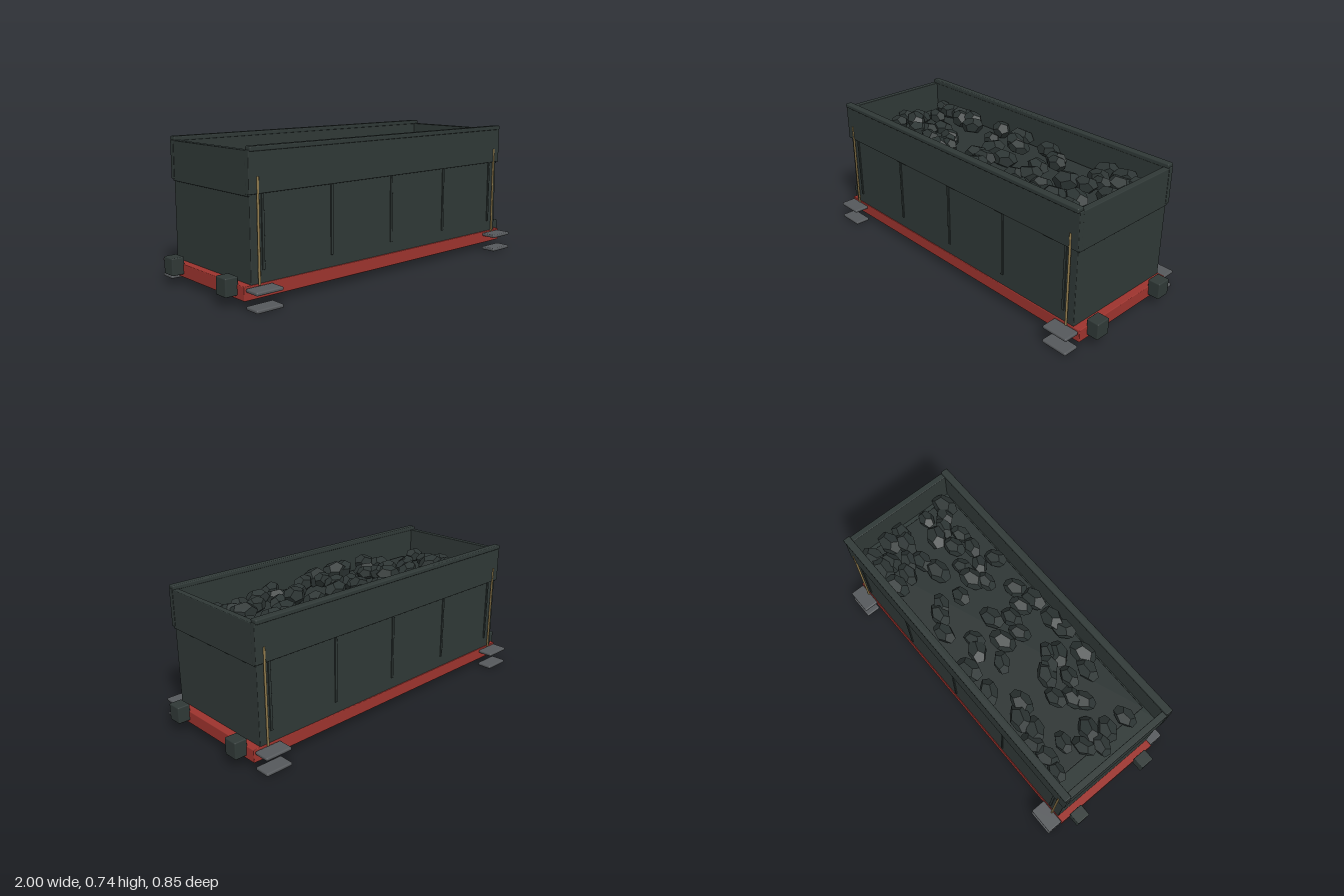
import * as THREE from 'three';
import { RoundedBoxGeometry } from 'three/addons/geometries/RoundedBoxGeometry.js';

const material = (name, color) => {
  const m = new THREE.MeshStandardMaterial({ color });
  m.name = name;
  return m;
};

// Rough layout of the coal lumps, as x, z pairs
const LUMPS = [
  -0.75, -0.27, -0.66, -0.25, -0.57, -0.28, -0.52, -0.21, -0.43, -0.23, -0.37, -0.17,
  -0.74, -0.07, -0.79, 0.0, -0.69, 0.0, -0.75, 0.08, -0.76, 0.19, -0.66, -0.14,
  -0.46, -0.02, -0.52, 0.05, -0.56, 0.08, -0.42, 0.11, -0.34, 0.03, -0.31, 0.07,
  -0.45, 0.21, -0.37, 0.25, -0.29, 0.15, -0.25, 0.11, -0.2, 0.26, -0.12, 0.25,
  -0.22, -0.28, -0.06, -0.28, -0.14, -0.11, -0.01, -0.17, 0.05, -0.14, -0.05, -0.03,
  -0.07, 0.07, 0.02, 0.09, 0.09, 0.01, 0.04, 0.17, 0.03, 0.25, 0.14, 0.22,
  0.18, -0.24, 0.28, -0.19, 0.32, -0.15, 0.29, -0.04, 0.33, 0.07, 0.27, 0.12,
  0.38, 0.16, 0.43, 0.08, 0.48, 0.19, 0.55, 0.12, 0.59, 0.2, 0.66, 0.08,
  0.68, 0.15, 0.74, 0.2, 0.79, 0.11, 0.79, 0.24, 0.49, -0.04, 0.59, -0.07,
  0.56, -0.27, 0.68, -0.28, 0.58, -0.18, 0.7, -0.21, 0.78, -0.26, 0.74, -0.07,
  0.82, -0.14, 0.64, -0.13, 0.35, 0.25, 0.87, -0.06,
];

export function createModel() {
  const model = new THREE.Group();
  const body = material('dark green paint', 0x2f3836);
  const red = material('red frame', 0x9c332d);
  const steel = material('step steel', 0x55585b);
  const brass = material('brass', 0x8f7a4c);
  const coal = material('coal', 0x2c3433);

  const add = (name, geometry, mat, x, y, z) => {
    const mesh = new THREE.Mesh(geometry, mat);
    mesh.name = name;
    mesh.position.set(x, y, z);
    model.add(mesh);
    return mesh;
  };
  // Box given by its limits, with slightly softened edges
  const box = (name, mat, x0, x1, y0, y1, z0, z1, r = 0.004) =>
    add(name, new RoundedBoxGeometry(x1 - x0, y1 - y0, z1 - z0, 2, r), mat,
      (x0 + x1) / 2, (y0 + y1) / 2, (z0 + z1) / 2);

  // Frame, tank and coal floor
  box('frame', red, -0.937, 0.937, 0.04, 0.109, -0.337, 0.337);
  box('tank', body, -0.895, 0.895, 0.105, 0.55, -0.333, 0.333);
  box('coalFloor', coal, -0.78, 0.84, 0.54, 0.565, -0.305, 0.305);

  for (const s of [-1, 1]) {
    // Raised walls and their top rails
    const z = s * 0.33;
    box('sideWall', body, -0.905, 0.905, 0.525, 0.725, z - 0.015, z + 0.015);
    box('sideRail', body, -0.9, 0.9, 0.718, 0.742, s * 0.332 - 0.02, s * 0.332 + 0.02, 0.006);
    box('endWall', body, s * 0.886 - 0.017, s * 0.886 + 0.017, 0.515, 0.722, -0.333, 0.333);

    // Panel ribs
    for (const x of [-0.826, -0.413, 0, 0.413, 0.826]) {
      box('panelRib', body, x - 0.007, x + 0.007, 0.17, 0.53, s * 0.333 - 0.006, s * 0.333 + 0.006, 0.002);
    }

    for (const e of [-1, 1]) {
      // Handrails, steps and buffers at each corner
      add('handrail', new THREE.CylinderGeometry(0.006, 0.006, 0.5, 12), brass, e * 0.857, 0.355, s * 0.344);
      for (const y of [0.01, 0.092]) {
        box('step', steel, e * 0.855 - 0.075, e * 0.855 + 0.075, y - 0.009, y + 0.009,
          s * 0.381 - 0.044, s * 0.381 + 0.044, 0.007);
      }
      box('buffer', body, e * 0.965 - 0.035, e * 0.965 + 0.035, 0.057, 0.147,
        s * 0.24 - 0.041, s * 0.24 + 0.041, 0.006);
    }
  }

  // Coal load: faceted lumps of varied size, heaped towards the middle
  const pile = new THREE.Group();
  pile.name = 'coalLoad';
  const geometry = new THREE.DodecahedronGeometry(1).toNonIndexed();
  let seed = 7;
  const random = () => (seed = (seed * 16807) % 2147483647) / 2147483647;
  for (let i = 0; i < LUMPS.length; i += 2) {
    const [x, z] = [Math.min(LUMPS[i], 0.8), LUMPS[i + 1]];
    const lump = new THREE.Mesh(geometry, coal);
    lump.name = 'coalLump';
    const size = 0.9 + random() * 0.3;
    lump.scale.set(0.07 * size, 0.045 * size, 0.047 * size);
    lump.rotation.set((random() - 0.5) * 0.6, (random() - 0.5) * 0.9, (random() - 0.5) * 0.5);
    lump.position.set(x, 0.58 + 0.025 * (1 - x * x) + random() * 0.015, THREE.MathUtils.clamp(z, -0.265, 0.265));
    pile.add(lump);
  }
  model.add(pile);

  return model;
}
